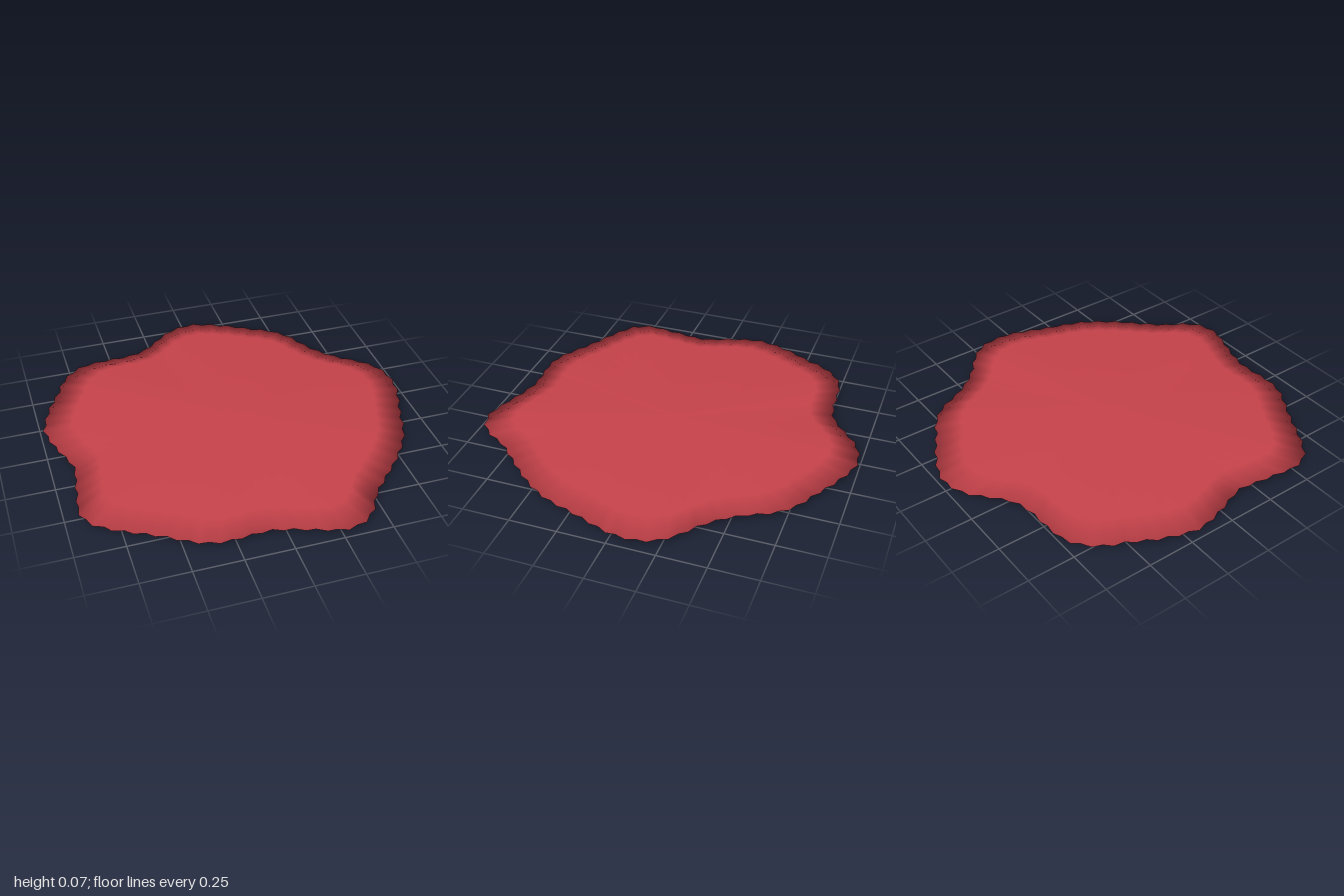
import * as THREE from 'three';

// Outline control points (x, z), running from +x towards +z
const OUTLINE = [
  [0.98, -0.09], [0.97, 0.0], [0.90, 0.2], [0.83, 0.4], [0.73, 0.55], [0.6, 0.69], [0.5, 0.8],
  [0.44, 0.9], [0.36, 0.97], [0.26, 0.99], [0.15, 0.96], [0, 0.91], [-0.1, 0.89], [-0.2, 0.895],
  [-0.32, 0.9], [-0.42, 0.875], [-0.6, 0.77], [-0.82, 0.65], [-0.9, 0.58], [-0.93, 0.49],
  [-0.92, 0.4], [-0.905, 0.28], [-0.89, 0.15], [-0.94, 0], [-0.975, -0.12], [-0.985, -0.2],
  [-0.965, -0.28], [-0.92, -0.4], [-0.86, -0.51], [-0.81, -0.62], [-0.73, -0.71], [-0.65, -0.75],
  [-0.5, -0.765], [-0.4, -0.77], [-0.3, -0.8], [-0.2, -0.88], [-0.1, -0.96], [0.05, -0.995],
  [0.25, -0.92], [0.37, -0.85], [0.48, -0.79], [0.57, -0.7], [0.62, -0.6], [0.68, -0.5],
  [0.77, -0.4], [0.86, -0.33], [0.93, -0.26], [0.97, -0.18],
];
const SEGMENTS = 120;
const MID = 0.037;
// Rings from top to bottom: [scale of the outline, height]
const RINGS = [[0.85, MID + 0.024], [1, MID], [0.85, MID - 0.024]];

function createDiscGeometry() {
  const curve = new THREE.CatmullRomCurve3(
    OUTLINE.map(([x, z]) => new THREE.Vector3(x, 0, z)), true);
  const rim = curve.getSpacedPoints(SEGMENTS).slice(0, SEGMENTS);
  const positions = [];
  const index = [];

  // Every second point is pulled in to crimp the edge
  for (const [scale, y] of RINGS) {
    rim.forEach((p, i) => {
      const s = scale * (i % 2 ? 0.988 : 1.003);
      positions.push(p.x * s, y, p.z * s);
    });
  }
  const top = positions.length / 3;
  const bottom = top + 1;
  positions.push(0, MID * 2, 0, 0, 0, 0);

  for (let i = 0; i < SEGMENTS; i++) {
    const j = (i + 1) % SEGMENTS;
    index.push(top, j, i);
    // Bevels above and below the shared rim
    for (let r = 0; r < RINGS.length - 1; r++) {
      const a = r * SEGMENTS, b = a + SEGMENTS;
      index.push(a + i, a + j, b + i, a + j, b + j, b + i);
    }
    const last = (RINGS.length - 1) * SEGMENTS;
    index.push(bottom, last + i, last + j);
  }

  const geometry = new THREE.BufferGeometry();
  geometry.setAttribute('position', new THREE.Float32BufferAttribute(positions, 3));
  geometry.setIndex(index);
  geometry.computeVertexNormals();
  return geometry;
}

export function createModel() {
  const group = new THREE.Group();
  const disc = new THREE.Mesh(
    createDiscGeometry(), new THREE.MeshStandardMaterial({ color: 0xc8434b }));
  disc.name = 'crimpedDisc';
  group.add(disc);
  return group;
}
